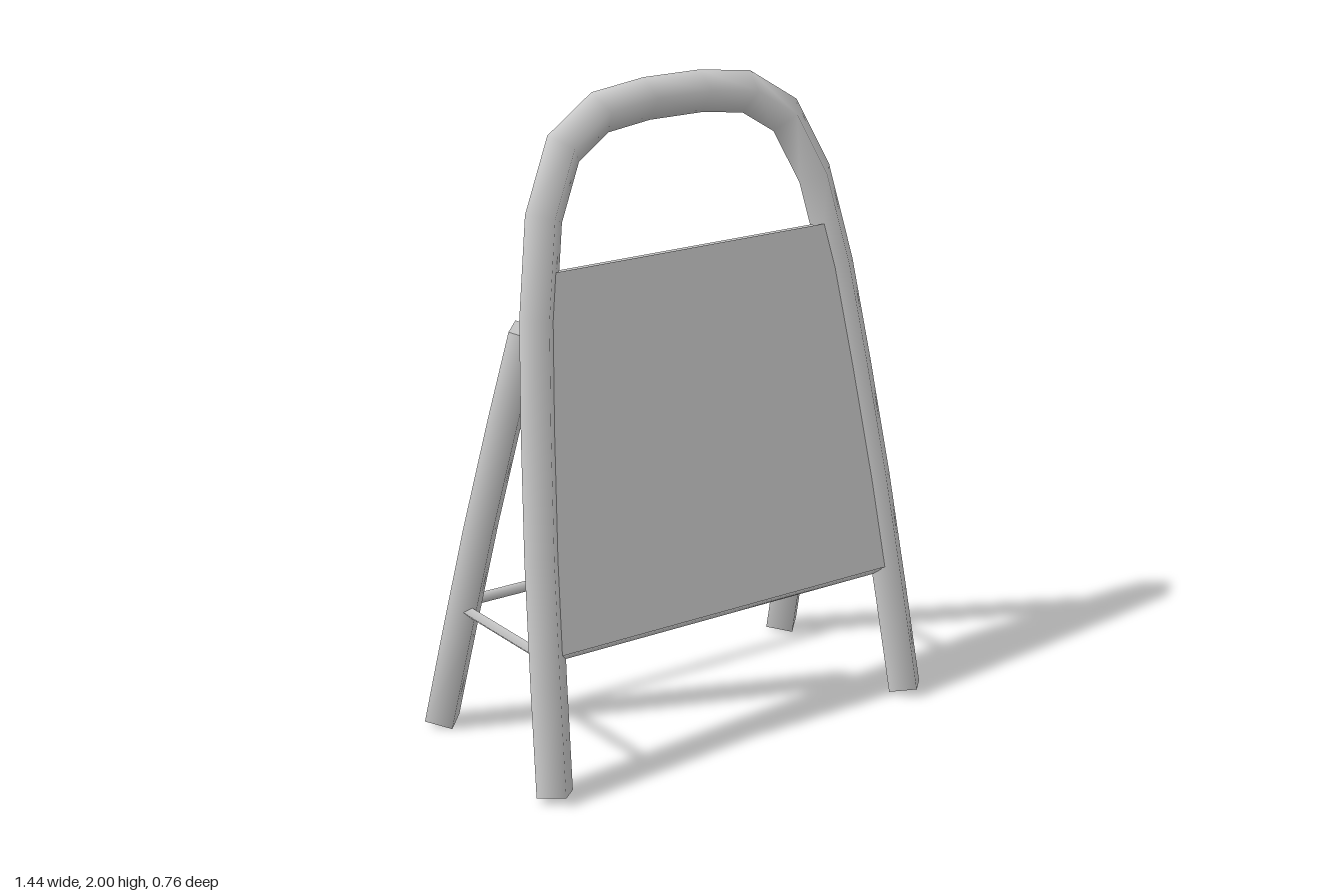
import * as THREE from 'three';

const MAT = new THREE.MeshStandardMaterial({ color: 0xcccccc });
const SHEET = new THREE.MeshStandardMaterial({ color: 0xcccccc, side: THREE.DoubleSide });
const R = 0.062, FOOT_Y = 0.018, FOOT_Z = 0.32;
const FRONT_TILT = -0.172, REAR_TILT = 0.262;

// Half outline of the rails: [x, height]
const RAIL = [[0.657, 0.02], [0.637, 0.33], [0.61, 0.7], [0.575, 1.06], [0.54, 1.37],
  [0.485, 1.65], [0.395, 1.835], [0.26, 1.92], [0.095, 1.94]];

// x of the rail at a given height
function railX(y) {
  const i = Math.max(1, RAIL.findIndex(p => p[1] >= y));
  const [a, b] = [RAIL[i - 1], RAIL[i]];
  return a[0] + (b[0] - a[0]) * (y - a[1]) / (b[1] - a[1]);
}

// Points in a leaning plane: height becomes length along the slope
const inPlane = (pts, tilt) =>
  pts.map(([x, y]) => new THREE.Vector2(x, (y - 0.02) / Math.cos(tilt)));

// Four-sided mitred tube along a flat path, smooth sides and flat end caps
function sweep(path) {
  const pos = [], idx = [], n = path.length;
  const dir = i => path[i + 1].clone().sub(path[i]).normalize();
  path.forEach((p, i) => {
    const a = dir(Math.max(0, i - 1)), b = dir(Math.min(n - 2, i));
    const t = a.clone().add(b).normalize();
    const m = R / t.dot(b);
    const nx = -t.y * m, ny = t.x * m;
    pos.push(p.x + nx, p.y + ny, 0, p.x, p.y, R, p.x - nx, p.y - ny, 0, p.x, p.y, -R);
  });
  for (let i = 0; i < n - 1; i++) {
    for (let j = 0; j < 4; j++) {
      const a = i * 4 + j, b = i * 4 + (j + 1) % 4;
      idx.push(a, b, b + 4, a, b + 4, a + 4);
    }
  }
  const s = n * 4, e = s + 4;
  pos.push(...pos.slice(0, 12), ...pos.slice(s * 3 - 12, s * 3));
  idx.push(s, s + 2, s + 1, s, s + 3, s + 2, e, e + 1, e + 2, e, e + 2, e + 3);
  const g = new THREE.BufferGeometry();
  g.setAttribute('position', new THREE.Float32BufferAttribute(pos, 3));
  g.setIndex(idx);
  g.computeVertexNormals();
  return g;
}

function addMesh(parent, name, geometry, material = MAT) {
  const mesh = new THREE.Mesh(geometry, material);
  mesh.name = name;
  parent.add(mesh);
  return mesh;
}

// Thin straight bar between two points
function addBar(parent, name, from, to) {
  const a = new THREE.Vector3(...from), b = new THREE.Vector3(...to);
  const d = b.clone().sub(a);
  const bar = addMesh(parent, name, new THREE.CylinderGeometry(0.018, 0.018, d.length(), 4));
  bar.position.copy(a).add(b).multiplyScalar(0.5);
  bar.quaternion.setFromUnitVectors(new THREE.Vector3(0, 1, 0), d.normalize());
}

export function createModel() {
  const model = new THREE.Group();
  model.name = 'foldingSignStand';

  // Front frame: one arched tube, with the panel in the same leaning plane
  const front = new THREE.Group();
  front.name = 'frontFrame';
  front.position.set(0, FOOT_Y, FOOT_Z);
  front.rotation.x = FRONT_TILT;
  model.add(front);
  const arch = [...RAIL, ...RAIL.map(([x, y]) => [-x, y]).reverse()];
  addMesh(front, 'archTube', sweep(inPlane(arch, FRONT_TILT)));

  // Panel follows the rails
  const side = [0.42, 0.7, 1.06, 1.37, 1.5].map(y => [railX(y) - 0.015, y]);
  const outline = [...side, ...side.map(([x, y]) => [-x, y]).reverse()];
  const panel = addMesh(front, 'panel',
    new THREE.ShapeGeometry(new THREE.Shape(inPlane(outline, FRONT_TILT))), SHEET);
  panel.position.z = 0.03;

  // Rear legs
  const rear = new THREE.Group();
  rear.name = 'rearLegs';
  rear.position.set(0, FOOT_Y, -FOOT_Z);
  rear.rotation.x = REAR_TILT;
  model.add(rear);
  const legPath = [...RAIL.slice(0, 4), [railX(1.33), 1.33]];
  for (const [name, s] of [['leftRearLeg', 1], ['rightRearLeg', -1]]) {
    addMesh(rear, name, sweep(inPlane(legPath.map(([x, y]) => [s * x, y]), REAR_TILT)));
  }

  // Cross bars and side stays
  addBar(model, 'panelTopBar', [-0.5, 1.482, 0.066], [0.5, 1.482, 0.066]);
  addBar(model, 'panelBottomBar', [-0.61, 0.416, 0.255], [0.61, 0.416, 0.255]);
  addBar(model, 'rearBar', [-0.61, 0.416, -0.247], [0.61, 0.416, -0.247]);
  addBar(model, 'leftStay', [0.638, 0.416, 0.24], [0.638, 0.416, -0.215]);
  addBar(model, 'rightStay', [-0.638, 0.416, 0.24], [-0.638, 0.416, -0.215]);

  return model;
}
